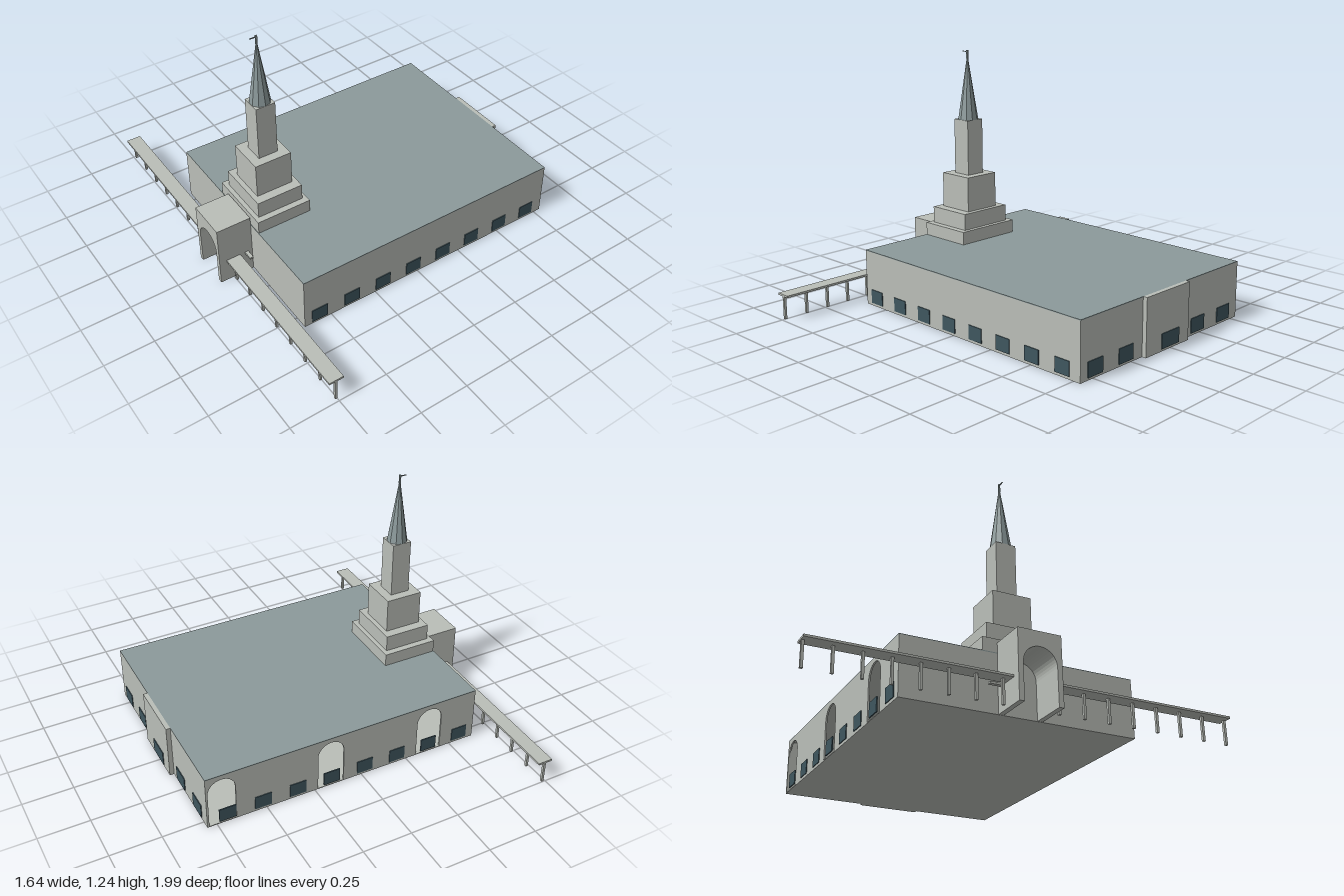
import * as THREE from 'three';

const mat = (name, color) => {
  const m = new THREE.MeshStandardMaterial({ color, side: THREE.DoubleSide });
  m.name = name;
  return m;
};

export function createModel() {
  const stone = mat('pale stone', 0xbabeb8);
  const slate = mat('slate roof', 0x8c9a9b);
  const glass = mat('dark glass', 0x3f565f);

  const model = new THREE.Group();
  model.name = 'steepledHall';

  const add = (name, geometry, material) => {
    const mesh = new THREE.Mesh(geometry, material);
    mesh.name = name;
    model.add(mesh);
    return mesh;
  };
  // box given by its limits on each axis
  const box = (name, material, x0, x1, y0, y1, z0, z1) => {
    const mesh = add(name, new THREE.BoxGeometry(x1 - x0, y1 - y0, z1 - z0), material);
    mesh.position.set((x0 + x1) / 2, (y0 + y1) / 2, (z0 + z1) / 2);
    return mesh;
  };
  // wall outline whose lower edge is notched by round-headed openings
  const archedWall = (left, right, top, centres, radius, spring) => {
    const s = new THREE.Shape();
    s.moveTo(left, 0);
    for (const c of centres) {
      s.lineTo(c - radius, 0);
      s.lineTo(c - radius, spring);
      s.absarc(c, spring, radius, Math.PI, 0, true);
      s.lineTo(c + radius, 0);
    }
    s.lineTo(right, 0);
    s.lineTo(right, top);
    s.lineTo(left, top);
    s.closePath();
    return s;
  };
  const extrude = (shape, depth) =>
    new THREE.ExtrudeGeometry(shape, { depth, bevelEnabled: false, curveSegments: 10 });

  // hollow main hall
  const X0 = -0.64, X1 = 0.793, Z0 = -0.549, Z1 = 0.573, H = 0.28, T = 0.008;
  box('floor', stone, X0, X1, 0, 0.004, Z0, Z1);
  box('ceiling', stone, X0, X1, H - 0.008, H - 0.004, Z0, Z1);
  box('roof', slate, X0, X1, H - 0.004, H, Z0, Z1);
  box('frontWall', stone, X0, X1, 0.004, H - 0.004, Z1 - T, Z1);
  box('leftWall', stone, X1 - T, X1, 0.004, H - 0.004, Z0 + T, Z1 - T);
  box('rightWall', stone, X0, X0 + T, 0.004, H - 0.004, Z0 + T, Z1 - T);
  box('leftBay', stone, X1, 0.815, 0, H, -0.138, 0.168);

  // rear wall with three arched openings
  const rear = add('rearWall', extrude(archedWall(X0, X1, H - 0.004, [-0.38, 0.16, 0.715], 0.068, 0.188), T), stone);
  rear.position.z = Z0;

  // windows along the front and rear
  for (let i = 0; i < 8; i++) {
    const x = -0.558 + i * 0.1785;
    box('frontWindow', glass, x - 0.042, x + 0.042, 0.014, 0.083, Z1 - 0.002, Z1 + 0.004);
    box('rearWindow', glass, x - 0.042, x + 0.042, 0.014, 0.083, Z0 - 0.004, Z0 + 0.002);
  }
  // windows on the left end, the wide middle one on the bay
  for (const [z, w, x] of [[0.48, 0.095, X1], [0.28, 0.095, X1], [-0.003, 0.125, 0.815], [-0.236, 0.1, X1], [-0.438, 0.1, X1]])
    box('leftWindow', glass, x - 0.002, x + 0.004, 0.012, 0.084, z - w / 2, z + w / 2);

  // stepped tower: half width, half depth, bottom, top
  const tx = -0.496, tz = 0.006;
  for (const [hx, hz, y0, y1] of [
    [0.142, 0.174, 0.28, 0.345],
    [0.12, 0.142, 0.345, 0.428],
    [0.095, 0.095, 0.428, 0.605],
    [0.05, 0.05, 0.605, 0.885],
  ]) box('towerTier', stone, tx - hx, tx + hx, y0, y1, tz - hz, tz + hz);

  // faceted spire
  const spire = add('spire', new THREE.ConeGeometry(0.051, 0.335, 10).toNonIndexed(), slate);
  spire.geometry.computeVertexNormals();
  spire.position.set(tx, 1.0525, tz);

  // small finial with a side arm
  box('finial', slate, tx - 0.004, tx + 0.004, 1.19, 1.235, tz - 0.004, tz + 0.004);
  box('finialArm', slate, tx - 0.034, tx, 1.226, 1.23, tz - 0.002, tz + 0.002);

  // entrance porch with an arched passage
  const porch = add('porch', extrude(archedWall(-0.104, 0.104, 0.325, [0], 0.08, 0.175), 0.178), stone);
  porch.rotation.y = Math.PI / 2;
  porch.position.set(-0.82, 0, 0.005);

  // covered walkway on both sides of the porch
  for (const s of [-1, 1]) {
    const span = (a, b) => (s > 0 ? [a, b] : [-b, -a]);
    box('walkwayRoof', stone, -0.782, -0.708, 0.115, 0.125, ...span(0.1, 0.993));
    box('walkwayLink', stone, -0.682, -0.664, 0.115, 0.125, ...span(0.1, 0.158));
    for (let i = 0; i < 8; i++) {
      const z = s * (0.985 - i * 0.122);
      box('walkwayPost', stone, -0.751, -0.739, 0, 0.115, z - 0.006, z + 0.006);
    }
  }

  // the plan is turned very slightly
  model.rotation.y = -0.009;
  const group = new THREE.Group();
  group.name = 'building';
  group.add(model);
  return group;
}
